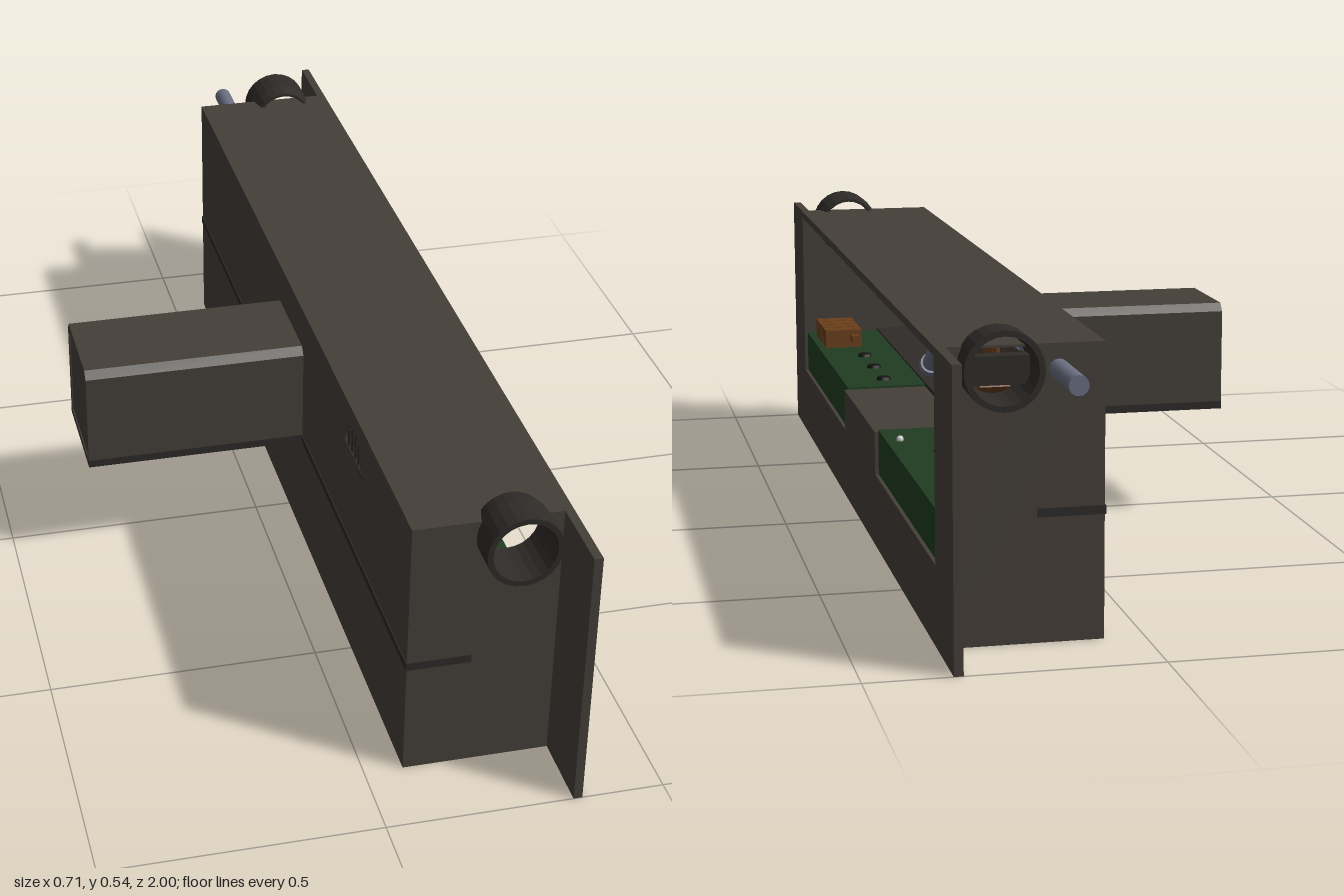
import * as THREE from 'three';

const mat = (color, flat = false) => new THREE.MeshStandardMaterial({ color, flatShading: flat, side: THREE.DoubleSide });

export function createModel() {
  const root = new THREE.Group();
  const stone = mat(0x453f39), dark = mat(0x2e2b28, true), green = mat(0x1f3d22), wood = mat(0x6b3f1a),
    steel = mat(0x6a6f82), black = mat(0x141412), pale = mat(0xcccccc);

  const add = (name, geo, material, x = 0, y = 0, z = 0, parent = root) => {
    const m = new THREE.Mesh(geo, material);
    m.name = name;
    m.position.set(x, y, z);
    parent.add(m);
    return m;
  };
  // box given by its lower and upper limits
  const box = (name, material, x0, x1, y0, y1, z0, z1, parent = root) =>
    add(name, new THREE.BoxGeometry(x1 - x0, y1 - y0, z1 - z0), material,
      (x0 + x1) / 2, (y0 + y1) / 2, (z0 + z1) / 2, parent);
  // cylinder between two points
  const rod = (name, material, a, b, r0, r1 = r0, seg = 16, parent = root) => {
    const p = new THREE.Vector3(...a), q = new THREE.Vector3(...b), d = q.clone().sub(p);
    const m = add(name, new THREE.CylinderGeometry(r1, r0, d.length(), seg), material, 0, 0, 0, parent);
    m.position.copy(p).add(q).multiplyScalar(0.5);
    m.quaternion.setFromUnitVectors(new THREE.Vector3(0, 1, 0), d.normalize());
    return m;
  };
  const poly = (pts, Kind = THREE.Shape) => new Kind(pts.map(p => new THREE.Vector2(...p)));
  // outline in (z, y), extruded from xMax towards -x
  const acrossX = (name, shape, material, xMax, depth) => {
    const m = add(name, new THREE.ExtrudeGeometry(shape, { depth, bevelEnabled: false, curveSegments: 24 }), material, xMax);
    m.rotation.y = -Math.PI / 2;
    return m;
  };

  // front panel with a stepped opening
  const panel = poly([[-1, 0], [1, 0], [1, 0.505], [-1, 0.505]]);
  panel.holes.push(poly([[-0.84, 0.14], [-0.84, 0.49], [0.84, 0.49], [0.84, 0.14],
    [0.2, 0.14], [0.2, 0.222], [-0.2, 0.222], [-0.2, 0.14]], THREE.Path));
  acrossX('viewingPanel', panel, stone, 0.352, 0.016);

  // back wall with doorway and arched vent
  const back = poly([[-0.85, 0], [0.85, 0], [0.85, 0.503], [-0.85, 0.503]]);
  back.holes.push(poly([[-0.09, 0.225], [-0.09, 0.41], [0.09, 0.41], [0.09, 0.225]], THREE.Path));
  const vent = new THREE.Path();
  vent.moveTo(0.548, 0.41);
  vent.absarc(0.48, 0.41, 0.06, 0, Math.PI, false);
  back.holes.push(vent);
  acrossX('backWall', back, stone, 0.08, 0.01);
  for (let i = -2; i <= 2; i++) rod('ventBar', dark, [0.075, 0.408, 0.48 + i * 0.022], [0.075, 0.465 - i * i * 0.005, 0.48 + i * 0.022], 0.003, 0.003, 6);
  box('ventSill', dark, 0.07, 0.09, 0.403, 0.412, 0.41, 0.55);

  // roof and open-bottomed floor
  box('roof', stone, 0.07, 0.345, 0.501, 0.505, -0.855, 0.855);
  box('floor', stone, 0.075, 0.336, 0.212, 0.222, -0.85, 0.85);
  box('floorEdge', dark, 0.068, 0.185, 0.215, 0.23, -0.857, 0.857);

  // tunnel behind the doorway
  const tunnel = poly([[-0.105, 0.215], [0.105, 0.215], [0.105, 0.41], [0.092, 0.425], [-0.092, 0.425], [-0.105, 0.41]]);
  tunnel.holes.push(poly([[-0.09, 0.23], [-0.09, 0.41], [0.09, 0.41], [0.09, 0.23]], THREE.Path));
  acrossX('tunnel', tunnel, stone, 0.072, 0.427);
  box('tunnelEnd', stone, -0.353, -0.34, 0.22, 0.415, -0.095, 0.095);
  for (const s of [-1, 1]) box('tunnelSkirting', dark, -0.355, 0.07, 0.215, 0.23, s * 0.104 - 0.002, s * 0.104 + 0.002);

  for (const s of [-1, 1]) {
    // end wall, notched at the top for the round passage
    const cx = 0.25, cy = 0.473, r = 0.056, a = Math.asin((0.503 - cy) / r);
    const end = new THREE.Shape();
    end.moveTo(0.07, 0);
    end.lineTo(0.34, 0);
    end.lineTo(0.34, 0.503);
    end.absarc(cx, cy, r, a, Math.PI - a, true);
    end.lineTo(0.07, 0.503);
    add('endWall', new THREE.ExtrudeGeometry(end, { depth: 0.01, bevelEnabled: false, curveSegments: 24 }),
      stone, 0, 0, s > 0 ? 0.845 : -0.855);

    // flanged ring around the passage
    const ring = add('passageRing', new THREE.LatheGeometry([[0.054, 0], [0.06, 0], [0.067, 0.03], [0.067, 0.095],
      [0.057, 0.095], [0.054, 0]].map(p => new THREE.Vector2(...p)), 24), dark, cx, cy, s * 0.82);
    ring.rotation.x = s * Math.PI / 2;

    // pool: surface and front face
    const z0 = s > 0 ? 0.2 : -0.84, z1 = z0 + 0.64;
    box('poolSurface', green, 0.085, 0.34, 0.218, 0.226, z0, z1);
    box('poolFront', green, 0.325, 0.345, 0.14, 0.226, z0, z1);

    // spoked valve and outlet on the back wall
    const valve = new THREE.Group();
    valve.name = 'valve';
    valve.position.set(0.105, 0.315, s * 0.18);
    root.add(valve);
    add('valveRim', new THREE.TorusGeometry(0.031, 0.004, 6, 20), steel, 0, 0, 0, valve).rotation.y = Math.PI / 2;
    for (let i = 0; i < 5; i++) {
      const t = Math.PI / 2 + i * Math.PI * 0.4;
      rod('valveSpoke', steel, [0, 0, 0], [0, 0.031 * Math.sin(t), 0.031 * Math.cos(t)], 0.004, 0.004, 6, valve);
    }
    rod('valveStem', steel, [-0.03, 0, 0], [0.008, 0, 0], 0.008, 0.008, 10, valve);
    rod('outletPipe', steel, [0.075, 0.265, s * 0.242], [0.13, 0.265, s * 0.242], 0.015);
    rod('outletCollar', steel, [0.122, 0.265, s * 0.242], [0.135, 0.265, s * 0.242], 0.019);
  }
  // block in the far passage
  box('passageBlock', dark, 0.197, 0.303, 0.44, 0.488, -0.86, -0.83);

  // long pipes
  rod('leftPipe', steel, [0.145, 0.465, 0.85], [0.145, 0.465, 0.56], 0.017);
  add('leftPipeTip', new THREE.SphereGeometry(0.017, 16, 10), steel, 0.145, 0.465, 0.56);
  rod('rightPipe', steel, [0.148, 0.462, -0.995], [0.148, 0.462, -0.42], 0.017);
  for (const z of [-0.43, -0.57, -0.71]) rod('pipeCollar', steel, [0.148, 0.462, z - 0.012], [0.148, 0.462, z + 0.012], 0.021);
  rod('slantedPipe', steel, [0.22, 0.318, -0.06], [0.22, 0.457, -0.305], 0.017);
  rod('slantedPipeCollar', steel, [0.22, 0.315, -0.055], [0.22, 0.325, -0.073], 0.021);
  rod('slantedPipeCollar', steel, [0.22, 0.45, -0.292], [0.22, 0.46, -0.31], 0.021);

  // lamp on the back wall
  box('lamp', pale, 0.085, 0.125, 0.4, 0.44, -0.535, -0.485);

  // doorway timber
  box('doorLintel', wood, 0.08, 0.1, 0.422, 0.44, -0.1, 0.1);
  for (const s of [-1, 1]) box('doorJamb', dark, 0.08, 0.088, 0.225, 0.422, s * 0.093 - 0.003, s * 0.093 + 0.003);
  for (let i = 0; i < 4; i++) box('doorPlank', wood, 0.082, 0.094, 0.23, 0.36, -0.08 + i * 0.0325, -0.05 + i * 0.0325);

  // raft of crates
  for (let i = 0; i < 4; i++) box('raftPlank', wood, 0.25, 0.33, 0.226, 0.265, 0.64 + i * 0.04, 0.676 + i * 0.04);
  box('raftBeam', wood, 0.26, 0.275, 0.24, 0.255, 0.615, 0.8);

  // plank ramp rising to the far passage
  const ramp = [[0.235, -0.5], [0.28, -0.59], [0.355, -0.675], [0.39, -0.75], [0.435, -0.835]];
  for (let i = 0; i < 4; i++) {
    const [y0, z0] = ramp[i], [y1, z1] = ramp[i + 1];
    const m = add('rampPlank', new THREE.BoxGeometry(0.05, 0.006, Math.hypot(y1 - y0, z1 - z0)), wood,
      0.25, (y0 + y1) / 2, (z0 + z1) / 2);
    m.rotation.x = Math.atan2(y1 - y0, z0 - z1);
  }
  box('floatingPlank', wood, 0.25, 0.27, 0.226, 0.233, -0.8, -0.72);

  // stepping stones and a small buoy
  for (const z of [0.53, 0.4, 0.27, -0.4, -0.47]) rod('steppingStone', black, [0.26, 0.224, z], [0.26, 0.232, z], 0.016, 0.013, 12);
  add('buoy', new THREE.SphereGeometry(0.007, 10, 8), pale, 0.32, 0.229, -0.3);

  return root;
}
